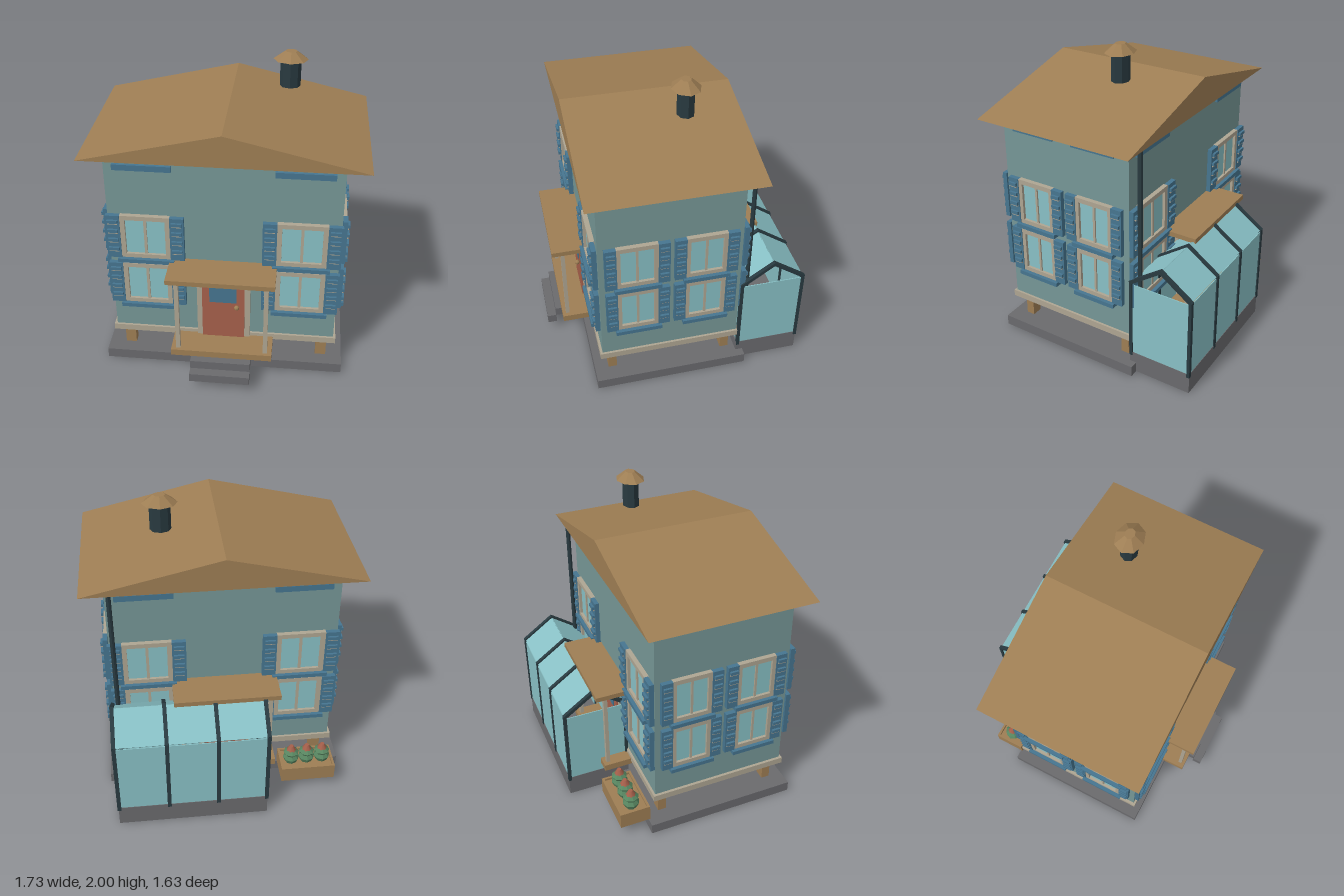
import * as THREE from 'three';

const paint = (name, color) => {
  const m = new THREE.MeshStandardMaterial({ color });
  m.name = name;
  return m;
};

export function createModel() {
  const wood = paint('wood brown', 0x9e7e54);
  const wall = paint('wall teal', 0x769796);
  const glass = paint('glass cyan', 0x88c0c5);
  const blue = paint('shutter blue', 0x467590);
  const cream = paint('trim cream', 0xaea592);
  const red = paint('door red', 0xa6604b);
  const stone = paint('stone grey', 0x6a6a6d);
  const iron = paint('iron dark', 0x293a40);
  const green = paint('leaf green', 0x578560);
  for (const m of [iron, green, wood]) m.flatShading = true;

  const house = new THREE.Group();
  house.name = 'stiltHouse';

  const add = (parent, name, geo, mat, x = 0, y = 0, z = 0) => {
    const m = new THREE.Mesh(geo, mat);
    m.name = name;
    m.position.set(x, y, z);
    parent.add(m);
    return m;
  };
  // Box given by its extents on each axis
  const box = (parent, name, mat, x0, x1, y0, y1, z0, z1) =>
    add(parent, name, new THREE.BoxGeometry(x1 - x0, y1 - y0, z1 - z0), mat,
      (x0 + x1) / 2, (y0 + y1) / 2, (z0 + z1) / 2);
  const group = (parent, name, x = 0, y = 0, z = 0, turn = 0) => {
    const g = new THREE.Group();
    g.name = name;
    g.position.set(x, y, z);
    g.rotation.y = turn;
    parent.add(g);
    return g;
  };

  // Foundation, stilts, floor and walls
  box(house, 'foundation', stone, -0.79, 0.785, 0, 0.07, -0.432, 0.57);
  for (const x of [-0.645, 0.645])
    for (const z of [0.452, -0.317])
      box(house, 'stilt', wood, x - 0.035, x + 0.035, 0.01, 0.222, z - 0.028, z + 0.028);
  box(house, 'floorBand', cream, -0.738, 0.735, 0.222, 0.265, -0.395, 0.535);
  box(house, 'walls', wall, -0.72, 0.72, 0.262, 1.55, -0.38, 0.52);

  // Gable roof with its ridge along z
  const gable = new THREE.Shape([[-0.865, 1.548], [0.865, 1.548], [0, 1.752]]
    .map(([x, y]) => new THREE.Vector2(x, y)));
  add(house, 'roof', new THREE.ExtrudeGeometry(gable, { depth: 1.065, bevelEnabled: false }),
    wood, 0, 0, -0.468);

  // Chimney, slightly squashed along z
  const chimney = group(house, 'chimney', 0.357, 0, -0.095);
  chimney.scale.z = 0.83;
  add(chimney, 'chimneyPipe', new THREE.CylinderGeometry(0.065, 0.065, 0.18, 8), iron, 0, 1.862, 0);
  add(chimney, 'chimneyCap', new THREE.CylinderGeometry(0.037, 0.109, 0.053, 8), wood, 0, 1.974, 0);

  // Window with shutters; local z = 0 is the wall, s scales the width
  const makeWindow = (parent, x, y, s) => {
    const w = group(parent, 'window', x, y, 0);
    w.scale.x = s;
    for (const k of [-1, 1]) {
      box(w, 'frameSide', cream, k * 0.14 - 0.015, k * 0.14 + 0.015, 0, 0.31, 0, 0.03);
      box(w, 'frameRail', cream, -0.125, 0.125, k > 0 ? 0.28 : 0, k > 0 ? 0.31 : 0.03, 0, 0.03);
      box(w, 'shutter', blue, k * 0.199 - 0.044, k * 0.199 + 0.044, 0, 0.31, 0.005, 0.035);
      for (let i = 0; i < 4; i++) {
        const sy = 0.055 + i * 0.067;
        box(w, 'slat', cream, k * 0.199 - 0.031, k * 0.199 + 0.031, sy - 0.005, sy + 0.005, 0.03, 0.043);
        box(w, 'louvre', blue, k * 0.199 - 0.033, k * 0.199 + 0.033, sy + 0.005, sy + 0.026, 0.03, 0.05);
      }
    }
    box(w, 'pane', glass, -0.126, 0.126, 0.028, 0.282, 0, 0.012);
    box(w, 'mullion', cream, -0.009, 0.009, 0.03, 0.28, 0.01, 0.022);
    box(w, 'sill', blue, -0.178, 0.178, -0.025, 0.002, 0.005, 0.054);
  };

  // Windows and eave vents for all four walls
  const facades = [
    ['front', 0, 0.52, 0, 0.485, 1],
    ['back', 0, -0.38, Math.PI, 0.485, 1],
    ['rightSide', 0.72, 0.07, Math.PI / 2, 0.215, 0.825],
    ['leftSide', -0.72, 0.07, -Math.PI / 2, 0.215, 0.825],
  ];
  for (const [name, px, pz, turn, dx, s] of facades) {
    const f = group(house, name + 'Facade', px, 0, pz, turn);
    for (const x of [-dx, dx]) {
      for (const y of [0.482, 0.838]) makeWindow(f, x, y, s);
      box(f, 'eaveVent', blue, x - 0.178 * s, x + 0.178 * s, 1.468, 1.506, 0.008, 0.027);
    }
    if (dx < 0.4) continue;

    // Porch
    const p = group(f, 'porch');
    box(p, 'porchFloor', wood, -0.327, 0.325, 0.197, 0.242, 0, 0.2);
    box(p, 'porchRoof', wood, -0.338, 0.336, 0.8, 0.832, 0, 0.238);
    for (const x of [-0.282, 0.282])
      box(p, 'porchPost', cream, x - 0.014, x + 0.014, 0.242, 0.8, 0.153, 0.178);

    // Door
    const d = group(f, 'door');
    box(d, 'doorFrame', cream, -0.172, 0.172, 0.242, 0.782, 0, 0.028);
    box(d, 'doorLeaf', red, -0.138, 0.136, 0.242, 0.745, 0.02, 0.038);
    box(d, 'doorWindow', blue, -0.09, 0.086, 0.53, 0.655, 0.036, 0.045);
    add(d, 'doorKnob', new THREE.SphereGeometry(0.017, 8, 6), wood, 0.087, 0.5, 0.053);
  }

  // Front steps
  box(house, 'lowerStep', stone, -0.197, 0.19, 0.07, 0.13, 0.758, 0.818);
  box(house, 'upperStep', stone, -0.197, 0.19, 0.13, 0.19, 0.7, 0.76);

  // Drainpipe at the back corner
  add(house, 'drainpipe', new THREE.CylinderGeometry(0.015, 0.015, 1.41, 8), iron, 0.69, 0.845, -0.437);

  // Greenhouse
  const gh = group(house, 'greenhouse');
  const zn = -0.396, zf = -0.804, zm = -0.6, eave = 0.668, peak = 0.812;
  box(gh, 'greenhouseBase', stone, -0.24, 0.73, 0.001, 0.142, -0.81, -0.385);
  for (const z of [zn, zf])
    box(gh, 'glassWall', glass, -0.235, 0.725, 0.142, 0.655, z - 0.003, z + 0.003);
  for (const x of [-0.235, 0.725])
    box(gh, 'glassEnd', glass, x - 0.003, x + 0.003, 0.142, 0.65, zf, zn);
  const rise = peak - eave;
  const slope = Math.hypot(zn - zm, rise);
  const tilt = Math.atan2(rise, zn - zm);
  for (const k of [-1, 1]) {
    const z = zm + k * (zn - zm) / 2, y = (eave + peak) / 2;
    const pane = add(gh, 'glassRoof', new THREE.BoxGeometry(0.96, 0.006, slope), glass, 0.245, y - 0.004, z);
    pane.rotation.x = k * tilt;
    for (const x of [-0.235, 0.08, 0.4, 0.725]) {
      const rafter = add(gh, 'rafter', new THREE.BoxGeometry(0.025, 0.022, slope + 0.014), iron, x, y, z);
      rafter.rotation.x = k * tilt;
      const zp = k > 0 ? zn : zf;
      box(gh, 'greenhousePost', iron, x - 0.0125, x + 0.0125, 0.122, 0.675, zp - 0.01, zp + 0.01);
    }
  }

  // Planter with three leafy plants
  const planter = group(house, 'planter');
  box(planter, 'planterSoil', wood, -0.715, -0.38, 0.072, 0.165, -0.605, -0.435);
  for (const x of [-0.73, -0.383])
    box(planter, 'planterEnd', wood, x, x + 0.015, 0.07, 0.18, -0.622, -0.42);
  for (const z of [-0.622, -0.435])
    box(planter, 'planterSide', wood, -0.715, -0.383, 0.07, 0.18, z, z + 0.015);
  const leafProfile = [[0, 0], [0.04, 0], [0.055, 0.035], [0.04, 0.06], [0.052, 0.08], [0.03, 0.1], [0, 0.1]]
    .map(([r, y]) => new THREE.Vector2(r, y));
  for (const x of [-0.655, -0.55, -0.445]) {
    add(planter, 'plant', new THREE.LatheGeometry(leafProfile, 8), green, x, 0.165, -0.523);
    add(planter, 'blossom', new THREE.CylinderGeometry(0.014, 0.033, 0.035, 7), red, x, 0.28, -0.523);
  }

  return house;
}
